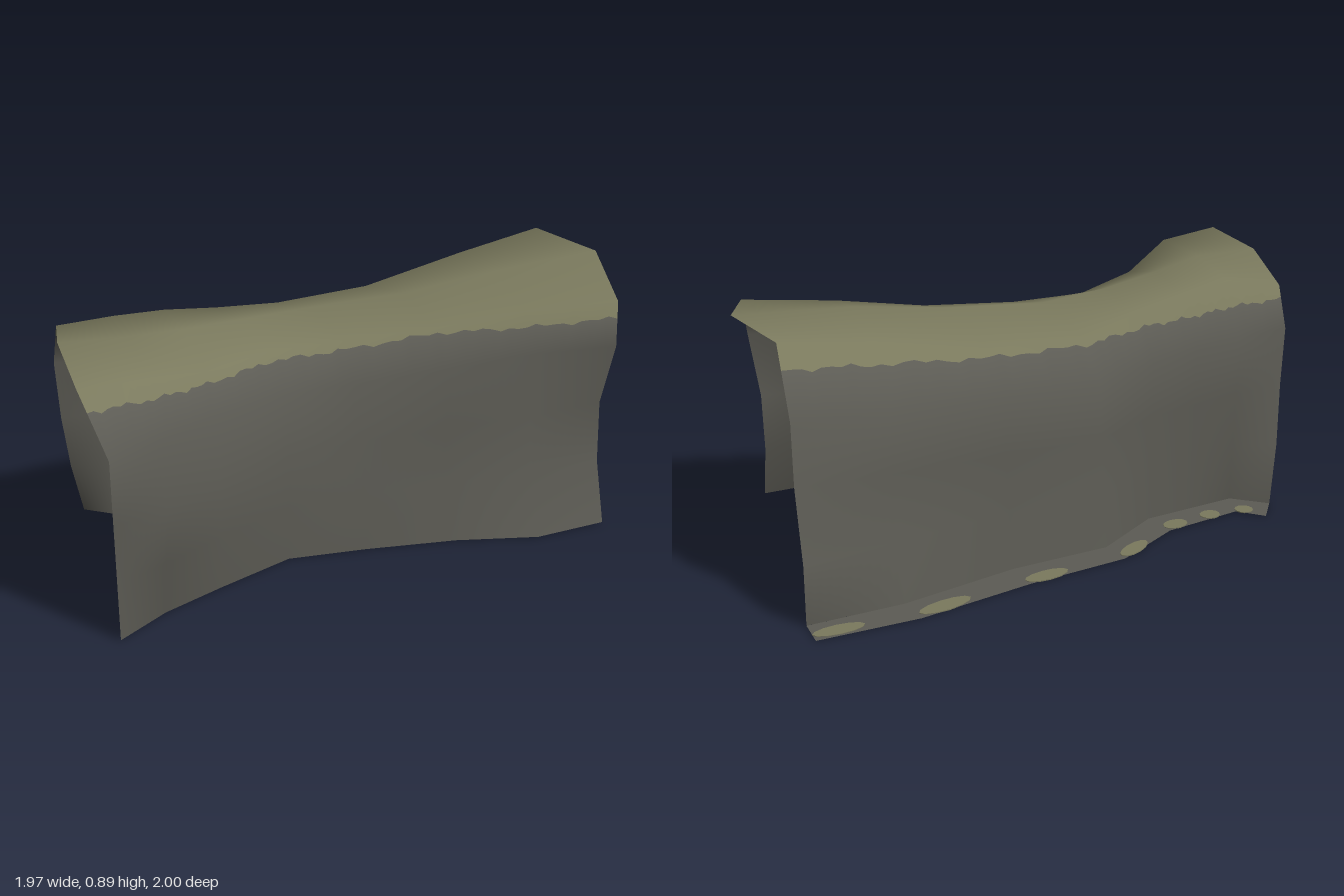
import * as THREE from 'three';

// Base lines of both walls (x, z), ridge height and lower edges of the moss at eight stations
const front = [[-.635, .975], [-.52, .8], [-.36, .63], [-.15, .42], [.12, .33], [.44, .24], [.74, .19], [.98, .06]];
const back = [[-.96, .13], [-.81, .16], [-.655, .06], [-.5, -.04], [-.35, -.28], [-.03, -.47], [.31, -.74], [.61, -.91]];
const rim = [[-.94, .02], [-.83, .05], [-.705, -.04], [-.58, -.13], [-.42, -.36], [-.1, -.57], [.24, -.83], [.56, -1]];
const height = [.875, .868, .845, .825, .815, .83, .872, .895];
const mossFront = [.8, .785, .742, .73, .73, .755, .757, .775];
const mossBack = [.77, .76, .75, .745, .73, .74, .785, .82];

// Columns from the front foot over the roof to the back foot:
// share of the width per station, share of the height, bulge at the left and right ends
const columns = [
  { t: [0, 0, 0, 0, 0, 0, 0, 0], y: 0, ends: [0, 0] },
  { t: [-.01, -.07, -.035, 0, .04, .07, .08, .07], y: .25, ends: [0, -.005] },
  { t: [-.02, -.14, -.06, 0, .07, .1, .11, .095], y: .5, ends: [0, 0] },
  { t: [-.03, -.06, .02, .06, .11, .13, .145, .06], y: .76, ends: [0, .03] },
  { t: [.1, .04, .13, .2, .2, .2, .19, .11], y: [.988, .975, .92, .92, .93, .93, .93, .928], ends: [-.07, .05] },
  { t: [.5, .48, .48, .48, .47, .46, .45, .45], y: 1, ends: [-.085, .12] },
  { t: [.82, .84, .85, .85, .78, .79, .75, .75], y: [.937, .975, .98, .965, .925, .92, .965, 1], ends: [-.06, .01] },
  { t: [.87, 1, 1, 1, .93, .93, .9, .9], y: .757, ends: [-.075, 0] },
  { t: [.88, 1, 1, 1, .94, .94, .91, .9], y: .505, ends: [-.065, 0] },
  { t: [.94, 1, 1, 1, .97, .97, .96, 1.01], y: .25, ends: [-.04, 0] },
  { t: [1, 1, 1, 1, 1, 1, 1, 1], y: .0023, ends: [0, 0] },
];
const COLS = columns.length, ROWS = front.length, STEPS = 10;

const points = front.map((f, i) => {
  const dx = back[i][0] - f[0], dz = back[i][1] - f[1], len = Math.hypot(dx, dz);
  return columns.map(({ t, y, ends }) => {
    const o = i === 0 ? ends[0] : i === ROWS - 1 ? ends[1] : 0;
    const share = Array.isArray(y) ? y[i] : y;
    return new THREE.Vector3(f[0] + dx * t[i] - dz / len * o, share * height[i], f[1] + dz * t[i] + dx / len * o);
  });
});

// Smooth normals on the coarse grid
const normals = points.map((row, i) => row.map((p, j) => {
  const a = points[Math.min(i + 1, ROWS - 1)][j].clone().sub(points[Math.max(i - 1, 0)][j]);
  const b = row[Math.min(j + 1, COLS - 1)].clone().sub(row[Math.max(j - 1, 0)]);
  return a.cross(b).normalize();
}));

function sample(grid, u, v) {
  const i = Math.min(Math.floor(u), ROWS - 2), j = Math.min(Math.floor(v), COLS - 2);
  const a = grid[i][j].clone().lerp(grid[i + 1][j], u - i);
  const b = grid[i][j + 1].clone().lerp(grid[i + 1][j + 1], u - i);
  return a.lerp(b, v - j);
}

// Ragged edge of the moss, found on the segment between columns low and high
function mossEdge(u, low, high, levels) {
  const yl = sample(points, u, low).y, yh = sample(points, u, high).y;
  const i = Math.min(Math.floor(u), ROWS - 2);
  const level = THREE.MathUtils.lerp(levels[i], levels[i + 1], u - i);
  const y = level + .004 * Math.sin(u * 9 + low) + .005 * Math.sin(u * 23 + 2 * low);
  return low + (high - low) * THREE.MathUtils.clamp((y - yl) / (yh - yl), .04, .96);
}
const frontEdge = u => mossEdge(u, 3, 4, mossFront);
const backEdge = u => mossEdge(u, 7, 6, mossBack);

// Strip of the shell; section(u) lists the column parameters at u
function shell(section) {
  const pos = [], nor = [], index = [];
  const rows = (ROWS - 1) * STEPS, n = section(0).length;
  for (let r = 0; r <= rows; r++) {
    const u = r / STEPS;
    for (const v of section(u)) {
      pos.push(...sample(points, u, v).toArray());
      nor.push(...sample(normals, u, v).normalize().toArray());
    }
  }
  for (let r = 0; r < rows; r++) for (let c = 0; c < n - 1; c++) {
    const a = r * n + c, b = a + n;
    index.push(a, b, b + 1, a, b + 1, a + 1);
  }
  const g = new THREE.BufferGeometry();
  g.setAttribute('position', new THREE.Float32BufferAttribute(pos, 3));
  g.setAttribute('normal', new THREE.Float32BufferAttribute(nor, 3));
  g.setIndex(index);
  return g;
}

export function createModel() {
  const group = new THREE.Group();
  const rock = new THREE.MeshStandardMaterial({ color: 0x5c5b54, side: THREE.DoubleSide });
  rock.name = 'grey rock';
  const moss = new THREE.MeshStandardMaterial({ color: 0x7a795d, side: THREE.DoubleSide });
  moss.name = 'moss green';
  const add = (name, geometry, material) => {
    const mesh = new THREE.Mesh(geometry, material);
    mesh.name = name;
    group.add(mesh);
    return mesh;
  };

  // Vaulted shell: two rock walls and a mossy roof
  add('frontWall', shell(u => [0, 1, 2, 3, frontEdge(u)]), rock);
  add('roof', shell(u => [frontEdge(u), 4, 5, 6, backEdge(u)]), moss);
  add('backWall', shell(u => [backEdge(u), 7, 8, 9, 10]), rock);

  // Flat ledge along the foot of the back wall
  const outline = [...back, ...rim.slice().reverse()].map(([x, z]) => new THREE.Vector2(x, -z));
  const ledge = add('backLedge', new THREE.ShapeGeometry(new THREE.Shape(outline)), rock);
  ledge.rotation.x = -Math.PI / 2;
  ledge.position.y = .002;

  // Moss patches on the ledge: [x, z, half length, half width, turn]
  const patches = [[-.86, .07, .035, .03, 0], [-.73, .015, .04, .033, .5], [-.6, -.075, .05, .033, .6],
    [-.45, -.28, .075, .03, .97], [-.15, -.505, .085, .032, .58], [.175, -.74, .1, .033, .66], [.5, -.925, .09, .03, .5]];
  for (const [x, z, a, b, turn] of patches) {
    const patch = add('mossPatch', new THREE.CylinderGeometry(1, 1, .004, 12), moss);
    patch.scale.set(a, 1, b);
    patch.rotation.y = turn;
    patch.position.set(x, .002, z);
  }
  return group;
}
